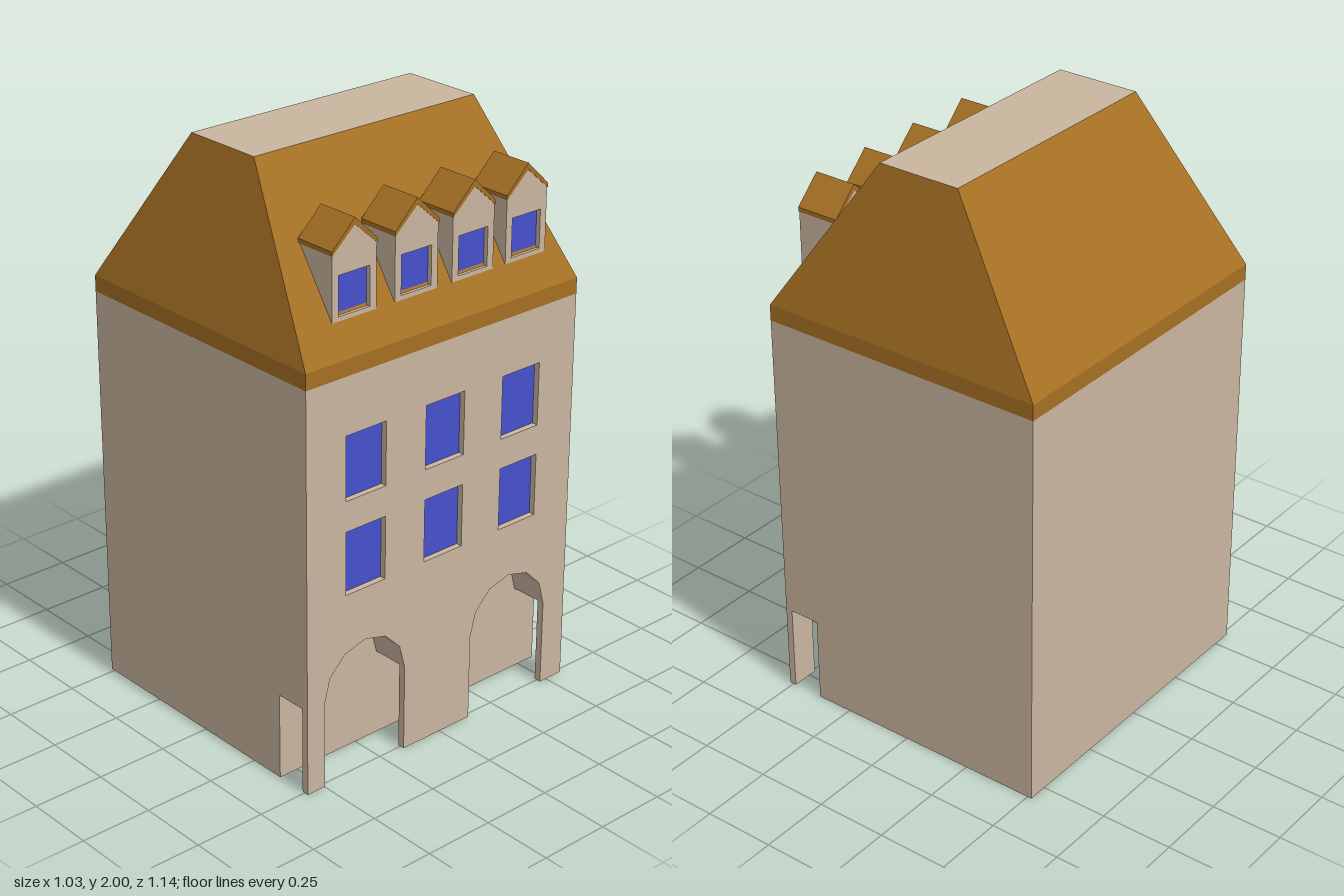
import * as THREE from 'three';

const HX = 0.515, HZ = 0.57, EAVES = 1.4;   // half width, half depth, wall height
const CORE = 0.38, SKIN = 0.49;             // passage between core and front skin
const SPRING = 0.305, ARCH_R = 0.17, ARCHES = [-0.329, 0.3025];

export function createModel() {
  const stone = new THREE.MeshStandardMaterial({ color: 0xc9b59f });
  const tile = new THREE.MeshStandardMaterial({ color: 0xa57024 });
  const glass = new THREE.MeshStandardMaterial({ color: 0x4651cb });
  stone.name = 'stone'; tile.name = 'roofTile'; glass.name = 'glass';

  const model = new THREE.Group();
  model.name = 'townhouse';

  const add = (name, geo, mat, parent = model) => {
    const mesh = new THREE.Mesh(geo, mat);
    mesh.name = name;
    parent.add(mesh);
    return mesh;
  };
  const box = (name, x0, x1, y0, y1, z0, z1, mat, parent) =>
    add(name, new THREE.BoxGeometry(x1 - x0, y1 - y0, z1 - z0), mat, parent)
      .position.set((x0 + x1) / 2, (y0 + y1) / 2, (z0 + z1) / 2);

  // Outlines are drawn as (-z, y) and extruded along x from x0 to x1
  const poly = (pts) => new THREE.Shape(pts.map(([a, b]) => new THREE.Vector2(a, b)));
  const slab = (shape, x0, x1) =>
    new THREE.ExtrudeGeometry(shape, { depth: x1 - x0, bevelEnabled: false })
      .rotateY(Math.PI / 2).translate(x0, 0, 0);
  const rectHole = (c, hw, y0, y1) =>
    new THREE.Path([[c - hw, y0], [c - hw, y1], [c + hw, y1], [c + hw, y0]]
      .map(([a, b]) => new THREE.Vector2(a, b)));

  // Wall outline with two arches cut up from its base
  const arcade = (base) => {
    const pts = [[-HZ, base]];
    for (const c of ARCHES) {
      if (base < SPRING) pts.push([c - ARCH_R, base]);
      for (let i = 0; i <= 6; i++) {
        const a = Math.PI * (1 - i / 6);
        pts.push([c + ARCH_R * Math.cos(a), SPRING + ARCH_R * Math.sin(a)]);
      }
      if (base < SPRING) pts.push([c + ARCH_R, base]);
    }
    pts.push([HZ, base], [HZ, EAVES], [-HZ, EAVES]);
    return poly(pts);
  };

  // Walls: solid core, vaulted block over the passage, windowed skin
  box('mainWalls', -HX, CORE, 0, EAVES, -HZ, HZ, stone);
  add('passageVault', slab(arcade(SPRING), CORE, SKIN), stone);
  const facade = arcade(0);
  for (const c of [-0.33, 0, 0.33]) {
    for (const [y0, y1] of [[0.66, 0.88], [0.985, 1.205]]) {
      facade.holes.push(rectHole(c, 0.082, y0, y1));
      box('windowPane', SKIN - 0.002, SKIN + 0.004, y0, y1, -c - 0.082, -c + 0.082, glass);
    }
  }
  add('arcadeFacade', slab(facade, SKIN, HX), stone);

  // Hipped roof: rectangular rings joined by quads
  const ring = (x, z, y) => [[x, y, z], [x, y, -z], [-x, y, -z], [-x, y, z]];
  const rings = [ring(HX, HZ, EAVES), ring(HX, HZ, 1.455), ring(0.148, 0.452, 2)];
  const quads = (list) => {
    const pos = list.flatMap(([a, b, c, d]) => [a, b, c, a, c, d].flat());
    const geo = new THREE.BufferGeometry();
    geo.setAttribute('position', new THREE.Float32BufferAttribute(pos, 3));
    geo.computeVertexNormals();
    return geo;
  };
  const sides = [];
  for (let r = 0; r < 2; r++) {
    for (let i = 0; i < 4; i++) {
      const j = (i + 1) % 4;
      sides.push([rings[r][i], rings[r][j], rings[r + 1][j], rings[r + 1][i]]);
    }
  }
  add('roofSlopes', quads(sides), tile);
  add('roofTop', quads([rings[2]]), stone);

  // Dormers with gabled walls, recessed windows and thin pitched roofs
  const X0 = 0.302, X1 = 0.452, W = 0.088;
  const gable = () => poly([[-W, 1.55], [W, 1.55], [W, 1.765], [0, 1.843], [-W, 1.765]]);
  const front = gable();
  front.holes.push(rectHole(0, 0.062, 1.565, 1.697));
  const cover = poly([[-0.09, 1.763], [0, 1.843], [0.09, 1.763],
    [0.09, 1.778], [0, 1.865], [-0.09, 1.778]]);
  for (const z of [0.324, 0.073, -0.165, -0.395]) {
    const dormer = new THREE.Group();
    dormer.name = 'dormer';
    dormer.position.z = z;
    model.add(dormer);
    add('dormerBody', slab(gable(), X0, X1 - 0.02), stone, dormer);
    add('dormerFront', slab(front, X1 - 0.02, X1), stone, dormer);
    add('dormerRoof', slab(cover, X0, X1 + 0.002), tile, dormer);
    box('dormerPane', X1 - 0.022, X1 - 0.016, 1.565, 1.697, -0.062, 0.062, glass, dormer);
  }
  return model;
}
